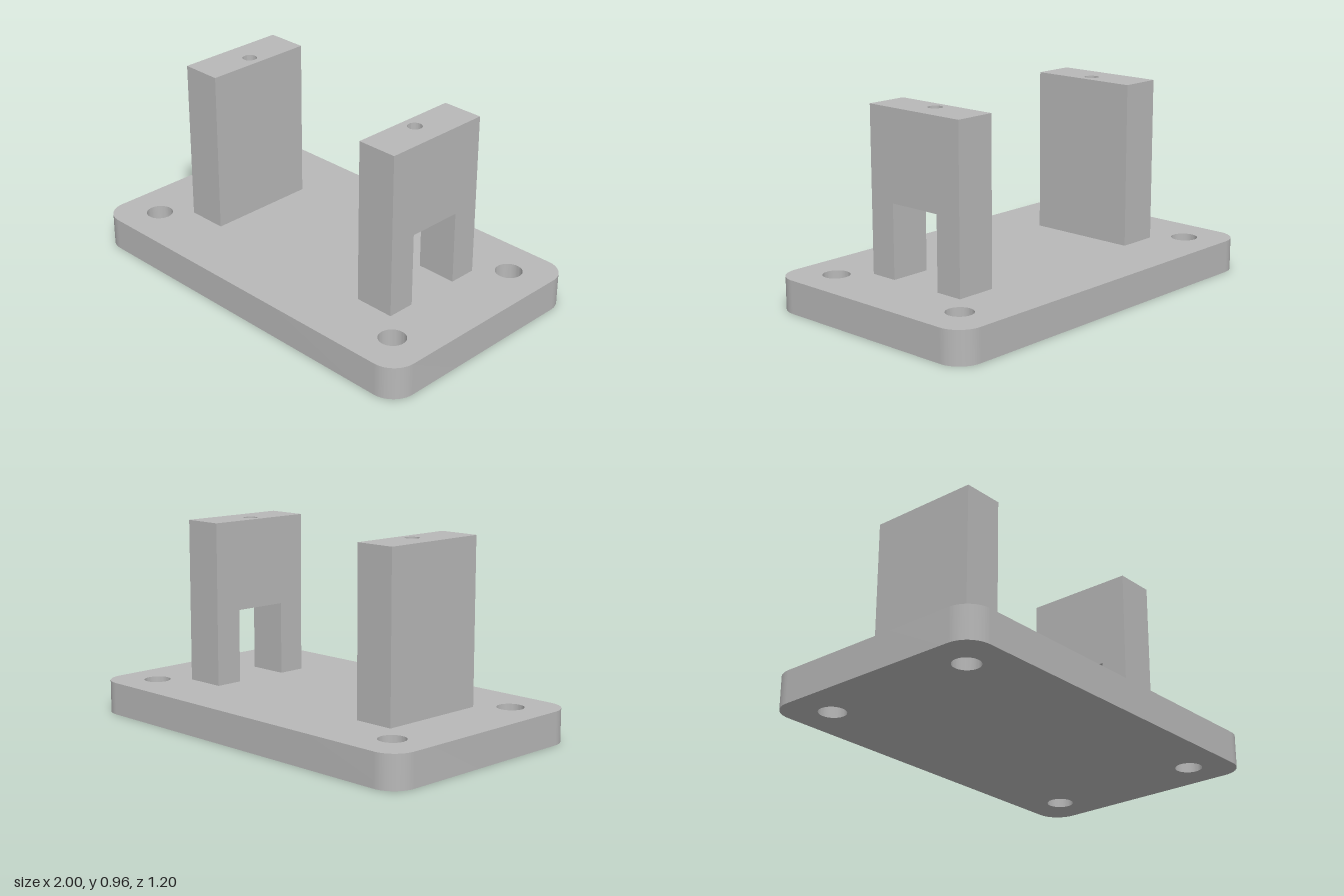
import * as THREE from 'three';
import { toCreasedNormals } from 'three/addons/utils/BufferGeometryUtils.js';

const BASE_TOP = 0.16, POST_TOP = 0.96, BORE_DEPTH = 0.24;
const POST_IN = 0.473, POST_OUT = 0.677, POST_HALF_Z = 0.28;

const grey = new THREE.MeshStandardMaterial({ color: 0xb8b8b8 });
grey.name = 'grey';

function circleHole(x, y, r) {
  const path = new THREE.Path();
  path.absarc(x, y, r, 0, Math.PI * 2, true);
  return path;
}

function polygon(points) {
  return new THREE.Shape(points.map(([x, y]) => new THREE.Vector2(x, y)));
}

// Extrude a plan shape (x, -z) upward from y0 to y1
function extrudeUp(shape, y0, y1) {
  const geo = new THREE.ExtrudeGeometry(shape, { depth: y1 - y0, bevelEnabled: false, curveSegments: 24 });
  geo.rotateX(-Math.PI / 2).translate(0, y0, 0);
  return toCreasedNormals(geo, 0.6);
}

function part(name, geo) {
  const mesh = new THREE.Mesh(geo, grey);
  mesh.name = name;
  return mesh;
}

// Rounded plate with four mounting holes
function createBase() {
  const w = 1, d = 0.6, r = 0.12;
  const shape = new THREE.Shape();
  shape.absarc(w - r, d - r, r, 0, Math.PI / 2);
  shape.absarc(-w + r, d - r, r, Math.PI / 2, Math.PI);
  shape.absarc(-w + r, -d + r, r, Math.PI, Math.PI * 1.5);
  shape.absarc(w - r, -d + r, r, Math.PI * 1.5, Math.PI * 2);
  for (const x of [-0.8, 0.8]) for (const z of [-0.4, 0.4]) shape.holes.push(circleHole(x, z, 0.065));
  return part('basePlate', extrudeUp(shape, 0, BASE_TOP));
}

// Upright with a blind bore in its top; optionally a doorway notch through its foot
function createPost(name, side, notched) {
  const post = new THREE.Group();
  post.name = name;
  const x0 = side > 0 ? POST_IN : -POST_OUT, x1 = side > 0 ? POST_OUT : -POST_IN;
  const split = POST_TOP - BORE_DEPTH, h = POST_HALF_Z;

  const cap = polygon([[x0, -h], [x1, -h], [x1, h], [x0, h]]);
  cap.holes.push(circleHole(side * 0.54, 0, 0.035));
  post.add(part('boredTop', extrudeUp(cap, split, POST_TOP)));

  const notch = notched ? [[-0.14, BASE_TOP], [-0.14, 0.52], [0.14, 0.52], [0.14, BASE_TOP]] : [];
  const profile = polygon([[-h, BASE_TOP], ...notch, [h, BASE_TOP], [h, split], [-h, split]]);
  const body = new THREE.ExtrudeGeometry(profile, { depth: x1 - x0, bevelEnabled: false });
  body.rotateY(Math.PI / 2).translate(x0, 0, 0);
  post.add(part('postBody', body));
  return post;
}

export function createModel() {
  const model = new THREE.Group();
  model.name = 'mountingBracket';
  model.add(createBase(), createPost('leftPost', 1, true), createPost('rightPost', -1, false));
  return model;
}
